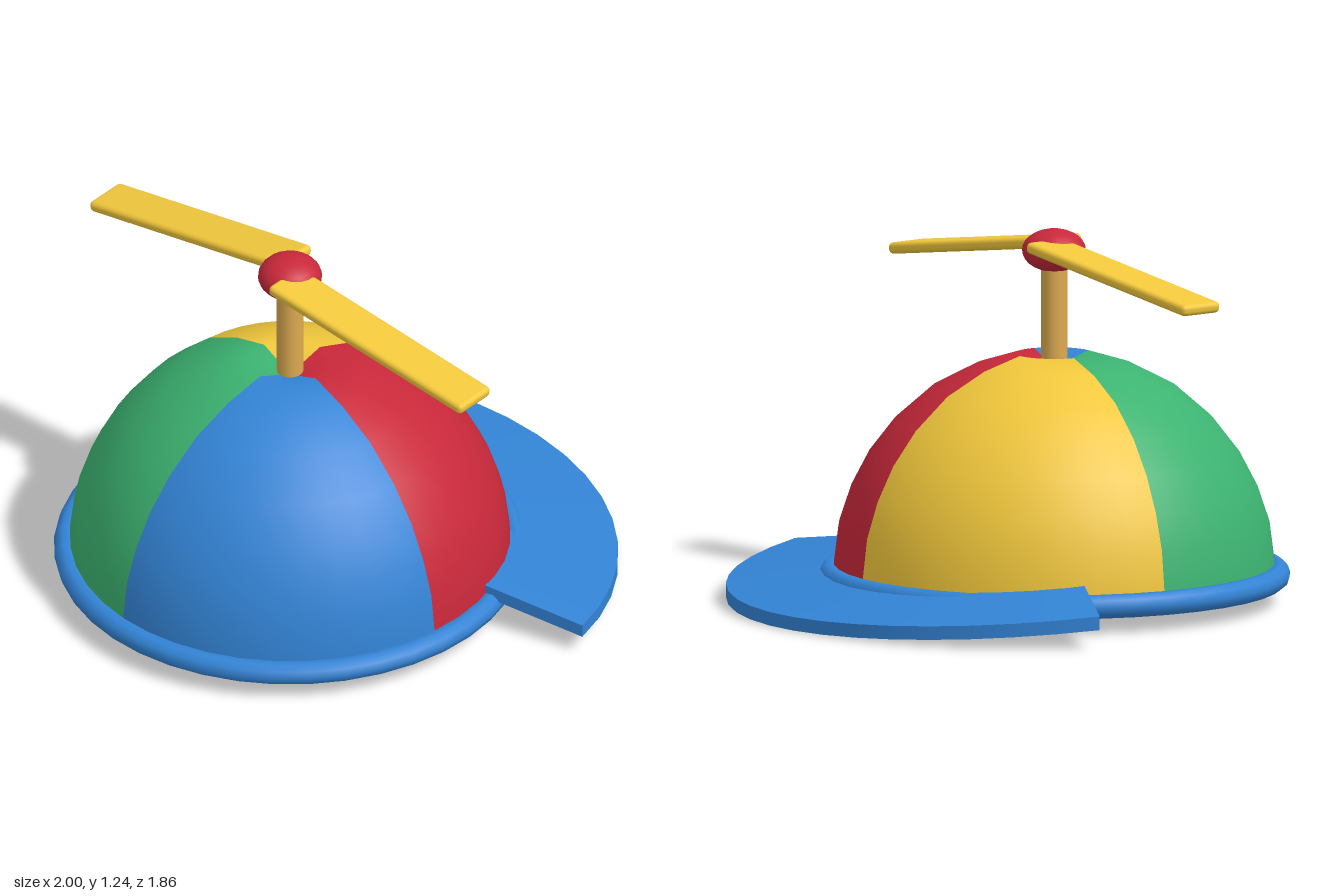
import * as THREE from 'three';
import { RoundedBoxGeometry } from 'three/addons/geometries/RoundedBoxGeometry.js';

const RED = 0xc8283a, BLUE = 0x3384d6, GREEN = 0x3cb371, YELLOW = 0xf2c83c, WOOD = 0xdcaa50;

function part(name, geometry, color, side = THREE.FrontSide) {
  const mesh = new THREE.Mesh(geometry, new THREE.MeshStandardMaterial({ color, side }));
  mesh.name = name;
  return mesh;
}

// Curved plate: a box bent into a ring sector that slopes down outwards and backwards
function visorGeometry() {
  const inner = 0.68, outer = 1.08, thickness = 0.045, sweep = THREE.MathUtils.degToRad(136);
  const g = new THREE.BoxGeometry(1, 1, 1, 18, 1, 4);
  const p = g.attributes.position;
  for (let i = 0; i < p.count; i++) {
    const a = p.getX(i) * sweep;
    const r = THREE.MathUtils.lerp(outer, inner, p.getZ(i) + 0.5);
    const z = -r * Math.cos(a);
    const top = 0.155 - 0.098 * (r - 0.74) - 0.096 * (-z - 0.28);
    p.setXYZ(i, r * Math.sin(a), top + (p.getY(i) - 0.5) * thickness, z);
  }
  g.computeVertexNormals();
  return g;
}

export function createModel() {
  const model = new THREE.Group();
  model.name = 'propellerCap';
  const cap = new THREE.Group();
  cap.name = 'cap';
  cap.position.z = 0.15;
  model.add(cap);

  // Dome of four coloured quarters, with a small dimple at the crown
  const profile = [
    [0.727, 0.08], [0.725, 0.14], [0.71, 0.26], [0.67, 0.38], [0.61, 0.495], [0.525, 0.605],
    [0.405, 0.71], [0.265, 0.783], [0.13, 0.825], [0, 0.775],
  ].map(([r, y]) => new THREE.Vector2(r, y));
  const quarters = [['frontLeftPanel', BLUE], ['backLeftPanel', RED], ['backRightPanel', YELLOW], ['frontRightPanel', GREEN]];
  quarters.forEach(([name, color], i) => {
    const g = new THREE.LatheGeometry(profile, 10, i * Math.PI / 2, Math.PI / 2);
    cap.add(part(name, g, color, THREE.DoubleSide));
  });

  // Rolled rim
  const rim = part('rim', new THREE.TorusGeometry(0.738, 0.04, 10, 40), BLUE);
  rim.rotation.x = Math.PI / 2;
  rim.position.y = 0.09;
  cap.add(rim);

  cap.add(part('visor', visorGeometry(), BLUE));

  // Stick and hub
  const stick = part('stick', new THREE.CylinderGeometry(0.044, 0.044, 0.4, 16), WOOD);
  stick.position.y = 0.96;
  cap.add(stick);
  const hub = part('hub', new THREE.SphereGeometry(0.106, 20, 14), RED);
  hub.scale.y = 0.67;
  hub.position.y = 1.168;
  cap.add(hub);

  // Two drooping blades, half a turn apart
  for (const [name, turn] of [['leftBlade', 0], ['rightBlade', Math.PI]]) {
    const pivot = new THREE.Group();
    pivot.name = name + 'Pivot';
    pivot.rotation.y = turn;
    const blade = part(name, new RoundedBoxGeometry(0.84, 0.038, 0.158, 3, 0.016), YELLOW);
    blade.position.set(0.44, 1.133, -0.008);
    blade.rotation.set(0, 0.155, -0.14);
    pivot.add(blade);
    cap.add(pivot);
  }
  return model;
}
